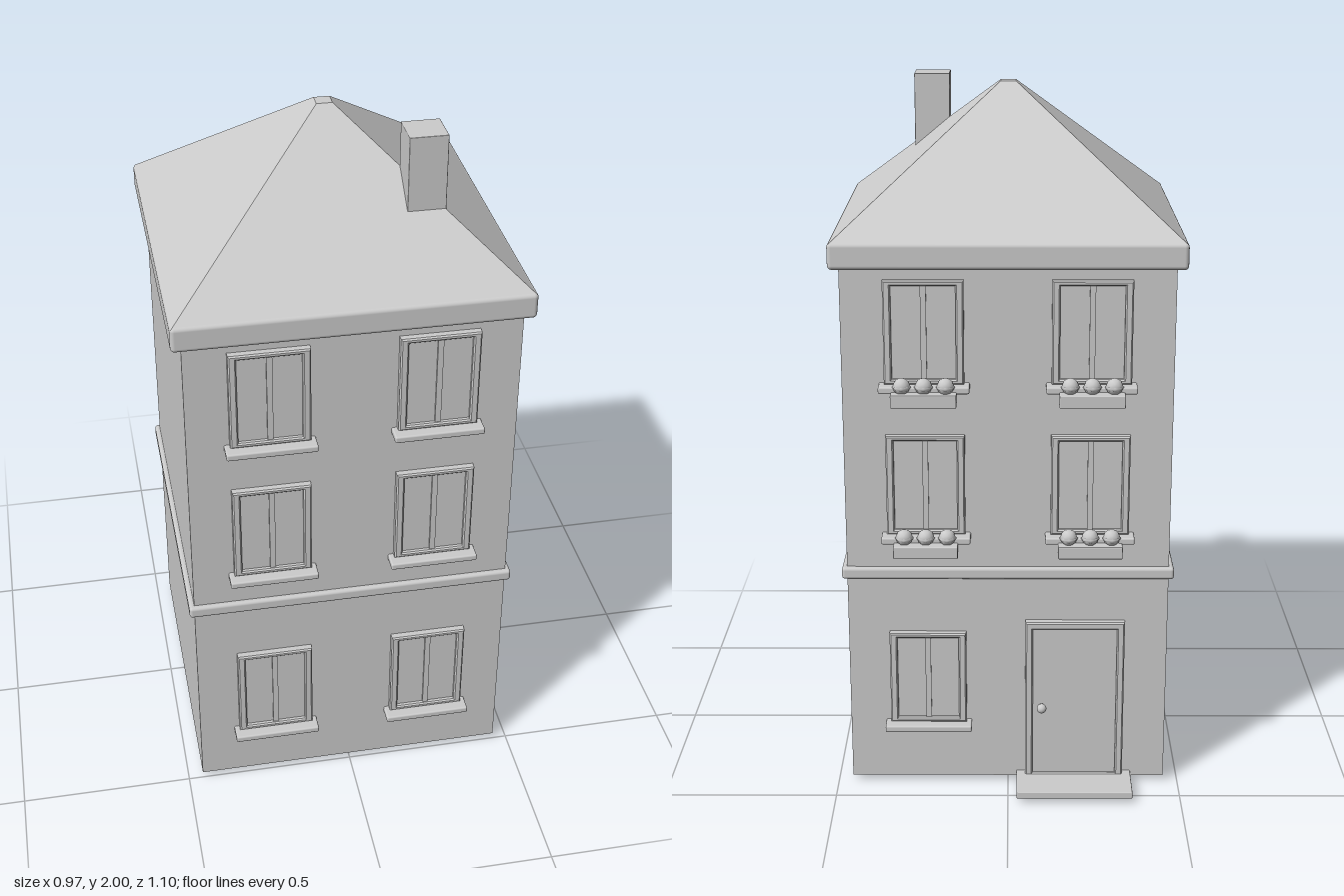
import * as THREE from 'three';
import { RoundedBoxGeometry } from 'three/addons/geometries/RoundedBoxGeometry.js';

const grey = new THREE.MeshStandardMaterial({ color: 0xcccccc });
grey.name = 'plasterGrey';

function add(parent, name, geometry, x = 0, y = 0, z = 0) {
  const mesh = new THREE.Mesh(geometry, grey);
  mesh.name = name;
  mesh.position.set(x, y, z);
  parent.add(mesh);
  return mesh;
}

// Box given by its limits on each axis, with optional rounded edges
function box(parent, name, [x0, x1], [y0, y1], [z0, z1], round = 0) {
  const size = [x1 - x0, y1 - y0, z1 - z0];
  const geometry = round ? new RoundedBoxGeometry(...size, 3, round) : new THREE.BoxGeometry(...size);
  return add(parent, name, geometry, (x0 + x1) / 2, (y0 + y1) / 2, (z0 + z1) / 2);
}

// Rectangular surround standing on y = 0, with a slightly bevelled edge
function surround(parent, name, w, h, side, bottom, top, depth) {
  const b = 0.004;
  const rect = (path, x, y0, y1) =>
    path.moveTo(-x, y0).lineTo(x, y0).lineTo(x, y1).lineTo(-x, y1).closePath();
  const shape = rect(new THREE.Shape(), w / 2 - b, b, h - b);
  shape.holes.push(rect(new THREE.Path(), w / 2 - side + b, bottom - b, h - top + b));
  const geometry = new THREE.ExtrudeGeometry(shape, {
    depth: depth - b, bevelEnabled: true, bevelSize: b, bevelThickness: b, bevelSegments: 1,
  });
  return add(parent, name, geometry);
}

// Window facing +z, its sill top at y = 0 and the wall at z = 0
function makeWindow(h, flowers) {
  const g = new THREE.Group();
  g.name = flowers ? 'windowWithFlowers' : 'window';
  surround(g, 'windowFrame', 0.22, h, 0.022, 0.014, 0.014, 0.022);
  box(g, 'windowPanes', [-0.1, 0.1], [0.005, h - 0.005], [-0.01, 0.009]);
  box(g, 'mullion', [-0.008, 0.008], [0.01, h - 0.01], [0, 0.015]);
  box(g, 'sill', [-0.125, 0.125], [-0.02, 0], [-0.01, 0.05], 0.005);
  if (flowers) {
    box(g, 'planter', [-0.09, 0.09], [-0.05, -0.014], [0.015, 0.083], 0.003);
    for (const x of [-0.06, 0, 0.06]) {
      add(g, 'flower', new THREE.IcosahedronGeometry(0.024, 1), x, 0.004, 0.052);
      add(g, 'flowerPetals', new THREE.TorusGeometry(0.018, 0.008, 6, 8), x, 0.002, 0.052).rotation.x = Math.PI / 2;
    }
  }
  return g;
}

export function createModel() {
  const model = new THREE.Group();
  model.name = 'townHouse';

  // House centre lies slightly forward because the doorstep projects at the back
  const house = new THREE.Group();
  house.name = 'house';
  house.position.z = 0.0425;
  model.add(house);
  const half = 0.4575;
  box(house, 'walls', [-half, half], [0.02, 1.58], [-half, half]);
  box(house, 'beltCourse', [-0.472, 0.472], [0.65, 0.685], [-0.472, 0.472], 0.009);
  box(house, 'eaves', [-0.486, 0.486], [1.55, 1.624], [-0.486, 0.486], 0.012);

  // Pyramid roof with a tiny flat tip
  const roof = new THREE.CylinderGeometry(0.022 * Math.SQRT2, 0.482 * Math.SQRT2, 0.38, 4, 1).toNonIndexed();
  roof.rotateY(Math.PI / 4);
  roof.computeVertexNormals();
  add(house, 'roof', roof, 0, 1.81, 0);
  box(model, 'chimney', [0.175, 0.28], [1.72, 2], [0.215, 0.32], 0.002);

  // Windows: three rows in front, flower boxes on the upper rows at the back
  for (const [row, y] of [0.195, 0.79, 1.23].entries()) {
    for (const x of [-0.23, 0.23]) {
      const front = makeWindow(0.29, false);
      front.position.set(x, y, half);
      house.add(front);
      if (row === 0 && x < 0) continue;
      const back = makeWindow(row ? 0.29 : 0.28, row > 0);
      back.position.set(x, row ? y : 0.205, -half);
      back.rotation.y = Math.PI;
      house.add(back);
    }
  }

  // Back door, knob and step
  const door = new THREE.Group();
  door.name = 'door';
  door.position.set(-0.1925, 0.03, -half);
  door.rotation.y = Math.PI;
  house.add(door);
  surround(door, 'doorFrame', 0.285, 0.49, 0.022, 0.01, 0.022, 0.024);
  box(door, 'doorLeaf', [-0.125, 0.125], [0, 0.475], [-0.01, 0.015]);
  add(door, 'doorKnob', new THREE.SphereGeometry(0.014, 16, 12), -0.095, 0.225, 0.034);
  const stem = add(door, 'knobStem', new THREE.CylinderGeometry(0.006, 0.006, 0.025, 10), -0.095, 0.225, 0.022);
  stem.rotation.x = Math.PI / 2;
  box(door, 'doorStep', [-0.1675, 0.1675], [-0.015, 0.006], [-0.01, 0.13], 0.003);
  box(door, 'stepBase', [-0.1425, 0.1425], [-0.03, -0.013], [-0.01, 0.03]);

  return model;
}
